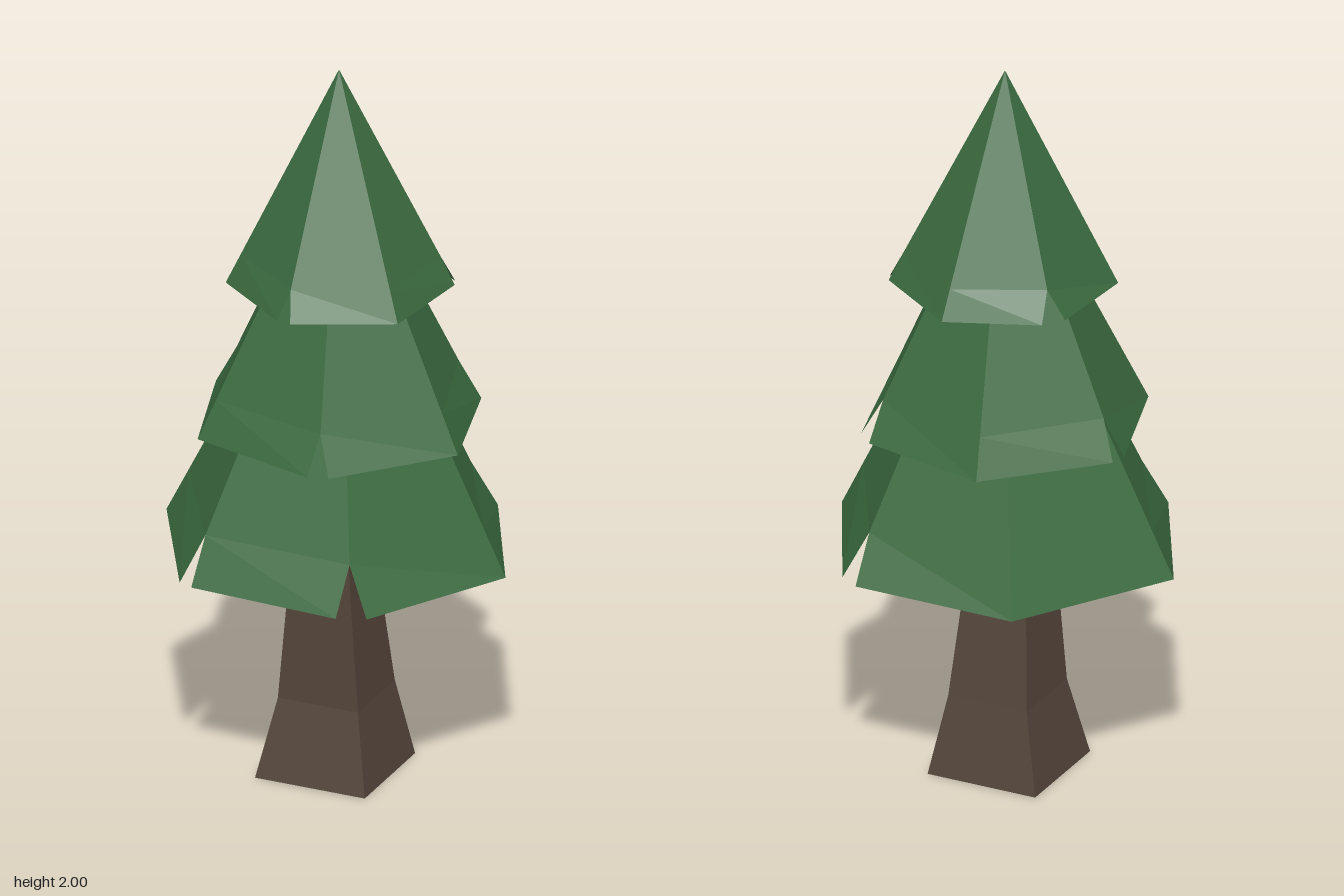
import * as THREE from 'three';

const foliageMat = new THREE.MeshStandardMaterial({ color: 0x3b6b40, flatShading: true, side: THREE.DoubleSide });
const trunkMat = new THREE.MeshStandardMaterial({ color: 0x54453a, flatShading: true });

function meshFrom(name, points, material) {
  const geometry = new THREE.BufferGeometry().setFromPoints(points);
  geometry.computeVertexNormals();
  const mesh = new THREE.Mesh(geometry, material);
  mesh.name = name;
  return mesh;
}

// Hollow six-sided skirt. Each corner is [x, z], or [x, z, x2, z2] where a
// V-shaped notch splits the ridge between two neighbouring facets.
function foliageTier(name, tipY, rimY, corners) {
  const tip = new THREE.Vector3(0.005, tipY, -0.005);
  const ridges = corners.map(([x, z, x2 = x, z2 = z]) => {
    const end = new THREE.Vector3(x, rimY, z);
    const start = new THREE.Vector3(x2, rimY, z2);
    const notch = end.clone().lerp(start, 0.5).lerp(tip, 0.13);
    return { end, start, notch };
  });
  const points = [];
  ridges.forEach((a, i) => {
    const b = ridges[(i + 1) % ridges.length];
    points.push(tip, b.notch, a.notch);
    points.push(b.notch, b.end, a.start, b.notch, a.start, a.notch);
  });
  return meshFrom(name, points, foliageMat);
}

// Four-sided trunk lofted through rectangles [y, xMin, xMax, zMin, zMax].
function trunk(rings) {
  const loops = rings.map(([y, x0, x1, z0, z1]) =>
    [[x0, z1], [x1, z1], [x1, z0], [x0, z0]].map(([x, z]) => new THREE.Vector3(x, y, z)));
  const points = [];
  for (let r = 0; r < loops.length - 1; r++) {
    for (let i = 0; i < 4; i++) {
      const j = (i + 1) % 4;
      const lo = loops[r], hi = loops[r + 1];
      points.push(lo[i], lo[j], hi[j], lo[i], hi[j], hi[i]);
    }
  }
  const base = loops[0], top = loops[loops.length - 1];
  points.push(base[0], base[2], base[1], base[0], base[3], base[2]);
  points.push(top[0], top[1], top[2], top[0], top[2], top[3]);
  return meshFrom('trunk', points, trunkMat);
}

export function createModel() {
  const tree = new THREE.Group();
  tree.name = 'pineTree';

  tree.add(trunk([
    [0, -0.165, 0.15, -0.165, 0.15],
    [0.22, -0.12, 0.11, -0.125, 0.105],
    [0.52, -0.095, 0.087, -0.08, 0.1],
    [0.95, -0.09, 0.06, -0.075, 0.085],
  ]));

  tree.add(foliageTier('bottomFoliage', 1.62, 0.64, [
    [-0.235, -0.435],
    [0.225, -0.432, 0.28, -0.4],
    [0.49, 0.01],
    [0.27, 0.4, 0.195, 0.43],
    [-0.23, 0.408, -0.27, 0.393],
    [-0.495, -0.015],
  ]));

  tree.add(foliageTier('middleFoliage', 1.8, 1.0, [
    [-0.11, -0.395],
    [0.245, -0.315, 0.29, -0.275],
    [0.385, 0.08],
    [0.14, 0.355, 0.085, 0.37],
    [-0.275, 0.27],
    [-0.385, -0.085, -0.375, -0.13],
  ]));

  tree.add(foliageTier('topFoliage', 2.0, 1.39, [
    [0.04, -0.3],
    [0.278, -0.138, 0.287, -0.115],
    [0.255, 0.172],
    [0.0, 0.29, -0.04, 0.285],
    [-0.263, 0.12],
    [-0.243, -0.145, -0.203, -0.2],
  ]));

  return tree;
}
